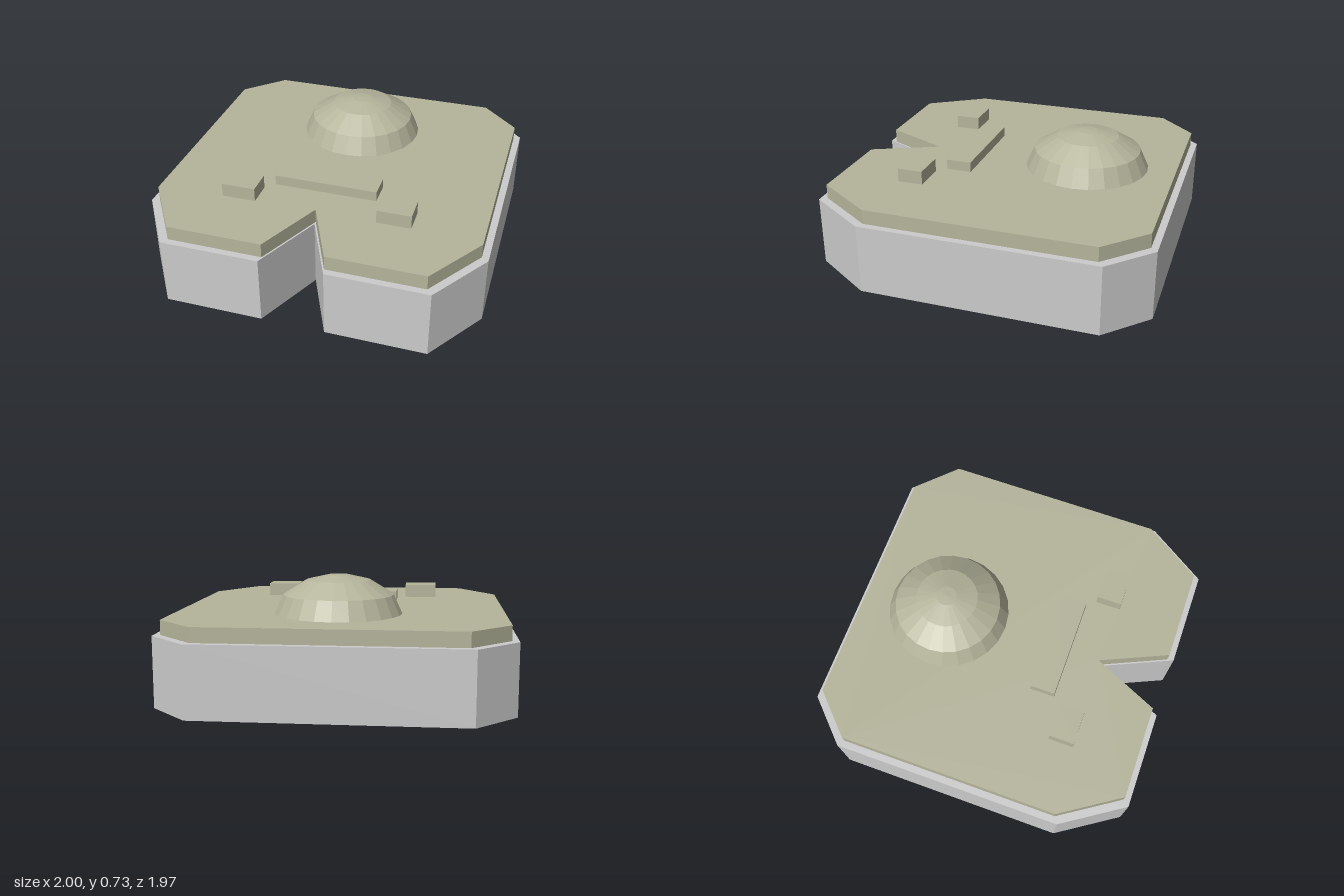
import * as THREE from 'three';

const grey = new THREE.MeshStandardMaterial({ color: 0xcccccc, flatShading: true });
const olive = new THREE.MeshStandardMaterial({ color: 0xb5b59c, flatShading: true });

// Half outline (x, z) from the back centre round to the notch tip
const half = [[0.765, -0.985], [1, -0.75], [1, 0.625], [0.765, 0.985], [0.185, 0.985]];
const notchTip = [0, 0.575];

// Chamfered, notched slab between two heights
function slab(name, scale, y0, y1, material) {
  const mirrored = half.map(([x, z]) => [-x, z]).reverse();
  const points = [...half, notchTip, ...mirrored].map(([x, z]) => new THREE.Vector2(x * scale, z * scale));
  const geometry = new THREE.ExtrudeGeometry(new THREE.Shape(points), { depth: y1 - y0, bevelEnabled: false });
  geometry.rotateX(Math.PI / 2).translate(0, y1, 0);
  const mesh = new THREE.Mesh(geometry, material);
  mesh.name = name;
  return mesh;
}

// Raised block standing on the top plate
function block(name, x, z, width, depth, top) {
  const base = 0.495;
  const mesh = new THREE.Mesh(new THREE.BoxGeometry(width, top - base, depth), olive);
  mesh.position.set(x, (base + top) / 2, z);
  mesh.name = name;
  return mesh;
}

export function createModel() {
  const model = new THREE.Group();
  model.name = 'notchedBaseWithDome';

  model.add(slab('base', 1, 0, 0.41, grey));
  model.add(slab('topPlate', 0.96, 0.41, 0.495, olive));

  // Faceted dome, floating just above the plate
  const profile = [[0, 0.505], [0.367, 0.505], [0.317, 0.614], [0.184, 0.697], [0.06, 0.726], [0, 0.73]];
  const dome = new THREE.Mesh(
    new THREE.LatheGeometry(profile.map(([r, y]) => new THREE.Vector2(r, y)), 24), olive);
  dome.position.z = -0.417;
  dome.name = 'dome';
  model.add(dome);

  // Centre bar and a small block on each side of the notch
  model.add(block('centreBar', 0, 0.295, 0.615, 0.15, 0.555));
  for (const side of [-1, 1]) {
    model.add(block(side > 0 ? 'leftBlock' : 'rightBlock', side * 0.46, 0.497, 0.2, 0.15, 0.575));
  }
  return model;
}
